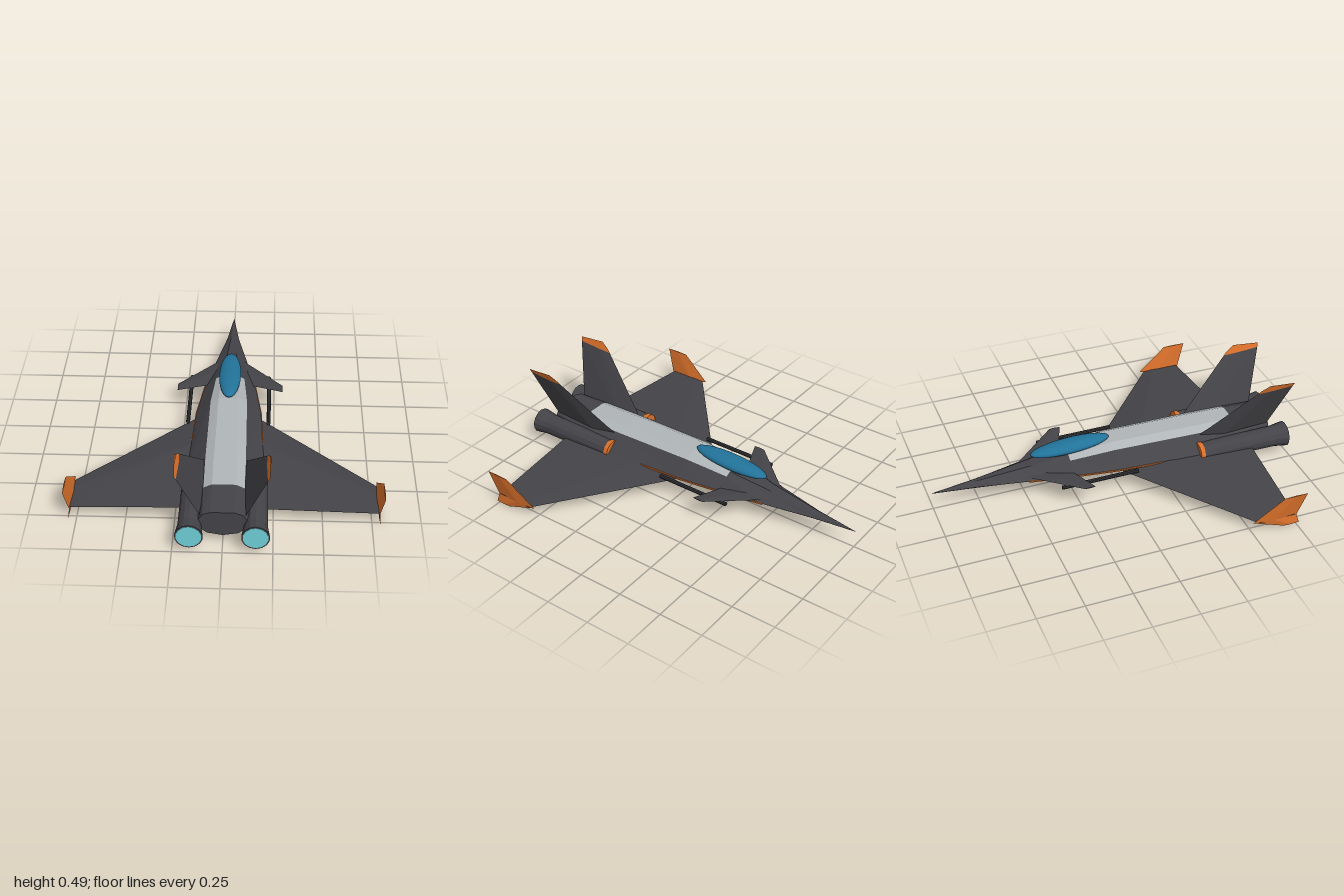
import * as THREE from 'three';

const mat = (name, color, extra = {}) => {
  const m = new THREE.MeshStandardMaterial({ color, flatShading: true, ...extra });
  m.name = name;
  return m;
};

// Skins a run of equal-length rings (counter-clockwise seen from the end they run towards).
// side = -1 mirrors in x; keep(i, j) picks panels.
function loft(rings, { side = 1, keep = () => true, caps = true } = {}) {
  const pos = [];
  const tri = (a, b, c) => {
    for (const p of side > 0 ? [a, b, c] : [a, c, b]) pos.push(p[0] * side, p[1], p[2]);
  };
  const n = rings[0].length;
  for (let i = 0; i < rings.length - 1; i++) {
    for (let j = 0; j < n; j++) {
      if (!keep(i, j)) continue;
      const k = (j + 1) % n;
      const [a, b, c, d] = [rings[i][j], rings[i][k], rings[i + 1][k], rings[i + 1][j]];
      tri(a, b, c);
      tri(a, c, d);
    }
  }
  if (caps) {
    const first = rings[0], last = rings[rings.length - 1];
    for (let j = 1; j < n - 1; j++) {
      tri(last[0], last[j], last[j + 1]);
      tri(first[0], first[j + 1], first[j]);
    }
  }
  const g = new THREE.BufferGeometry();
  g.setAttribute('position', new THREE.Float32BufferAttribute(pos, 3));
  g.computeVertexNormals();
  return g;
}

// Diamond section of a flat-lying wing at x: leading edge, crest and trailing edge in z
const wingRing = (x, y, lead, crest, trail, t) =>
  [[x, y + t, crest], [x, y, trail], [x, y - t, crest], [x, y, lead]];

// Diamond section of an upright fin: [x, y, z] at lead, crest and trail
const finRing = (lead, crest, trail, t) =>
  [trail, [crest[0] + t, crest[1], crest[2]], lead, [crest[0] - t, crest[1], crest[2]]];

export function createModel() {
  const group = new THREE.Group();
  const dark = mat('darkGrey', 0x444348);
  const darker = mat('charcoal', 0x343438);
  const pale = mat('paleGrey', 0xb0b5b8);
  const orange = mat('orange', 0xd9702b);
  const glass = mat('blueGlass', 0x22739a, { flatShading: false });
  const glow = mat('cyanGlow', 0x6fd0d8);
  const add = (name, geo, material) => {
    const m = new THREE.Mesh(geo, material);
    m.name = name;
    group.add(m);
    return m;
  };

  // Fuselage stations: z, half width, its y, shoulder x, shoulder y, deck x, deck y, belly y
  const stations = [
    [-1, 0.001, 0.1, 0.0006, 0.101, 0.0003, 0.101, 0.099],
    [-0.77, 0.035, 0.103, 0.02, 0.118, 0.01, 0.125, 0.085],
    [-0.47, 0.1, 0.11, 0.05, 0.145, 0.03, 0.16, 0.07],
    [-0.25, 0.145, 0.115, 0.08, 0.175, 0.05, 0.19, 0.06],
    [0, 0.18, 0.115, 0.1, 0.195, 0.055, 0.22, 0.052],
    [0.47, 0.2, 0.11, 0.105, 0.187, 0.06, 0.21, 0.045],
    [0.72, 0.18, 0.11, 0.105, 0.18, 0.06, 0.203, 0.045],
    [0.92, 0.14, 0.11, 0.1, 0.175, 0.06, 0.19, 0.045],
  ];
  const rings = stations.map(([z, w, m, e, te, c, t, b]) => {
    const f = w * 0.55, bf = b + (m - b) * 0.22;
    return [[w, m], [e, te], [c, t], [-c, t], [-e, te], [-w, m], [-f, bf], [0, b], [f, bf]]
      .map(([x, y]) => [x, y, z]);
  });
  const isDeck = (i, j) => i >= 3 && i < 6 && j >= 1 && j <= 3;
  add('fuselage', loft(rings, { keep: (i, j) => !isDeck(i, j) }), dark);
  add('spineDeck', loft(rings, { keep: isDeck, caps: false }), pale);

  // Canopy
  const canopy = add('canopy', new THREE.SphereGeometry(1, 24, 16), glass);
  canopy.scale.set(0.061, 0.032, 0.226);
  canopy.position.set(0, 0.217, -0.225);
  canopy.rotation.x = -0.045;

  for (const side of [1, -1]) {
    const pre = side > 0 ? 'left' : 'right';
    const part = (name, ringList, material) => add(pre + name, loft(ringList, { side }), material);
    // Tube along z at this side's x, from z0 (radius r0) to z1 (radius r1)
    const tube = (name, x, y, z0, z1, r0, r1, material, sides = 14) => {
      const g = new THREE.CylinderGeometry(r1, r0, z1 - z0, sides);
      g.rotateX(Math.PI / 2);
      g.translate(side * x, y, (z0 + z1) / 2);
      return add(pre + name, g, material);
    };

    // Main wing and canard
    part('Wing', [
      wingRing(0.1, 0.1, -0.035, 0.24, 0.778, 0.021),
      wingRing(0.2, 0.094, 0.045, 0.28, 0.775, 0.019),
      wingRing(0.79, 0.055, 0.535, 0.59, 0.745, 0.005),
    ], dark);
    part('Canard', [
      wingRing(0.07, 0.125, -0.5, -0.4, -0.27, 0.009),
      wingRing(0.295, 0.136, -0.245, -0.22, -0.183, 0.003),
    ], dark);

    // Wing tip fin
    part('WingtipFin', [
      finRing([0.793, 0, 0.68], [0.793, 0, 0.72], [0.793, 0, 0.77], 0.003),
      finRing([0.786, 0.06, 0.505], [0.786, 0.055, 0.62], [0.786, 0.05, 0.755], 0.008),
      finRing([0.805, 0.19, 0.67], [0.805, 0.19, 0.73], [0.805, 0.19, 0.8], 0.003),
    ], orange);

    // Canted tail fin with painted tip
    const tailBase = finRing([0.105, 0.165, 0.48], [0.115, 0.165, 0.65], [0.115, 0.165, 0.91], 0.016);
    const tailSplit = finRing([0.215, 0.443, 0.783], [0.217, 0.448, 0.86], [0.218, 0.453, 0.995], 0.005);
    const tailTop = finRing([0.221, 0.46, 0.8], [0.231, 0.488, 0.85], [0.228, 0.476, 1], 0.003);
    part('TailFin', [tailBase, tailSplit], dark);
    part('TailFinTip', [tailSplit, tailTop], orange);

    // Engine: intake ring, nacelle, flared nozzle and glowing exhaust
    tube('IntakeRing', 0.164, 0.1, 0.465, 0.49, 0.06, 0.06, orange);
    tube('Nacelle', 0.164, 0.1, 0.485, 0.93, 0.056, 0.06, dark);
    tube('Nozzle', 0.164, 0.1, 0.92, 0.998, 0.059, 0.071, dark);
    tube('Exhaust', 0.164, 0.1, 0.995, 1, 0.064, 0.064, glow);

    // Forward rod under the canard
    tube('Rod', 0.22, 0.118, -0.345, 0.09, 0.011, 0.011, darker, 8);

    // Thin stripe along the body's widest edge
    const stripe = [[-0.49, 0.095, 0.109], [-0.47, 0.1, 0.11], [-0.25, 0.145, 0.115],
      [0, 0.18, 0.115], [0.25, 0.1906, 0.1123]];
    part('Stripe', stripe.map(([z, x, y]) => [
      [x + 0.002, y - 0.006, z], [x + 0.002, y + 0.002, z],
      [x - 0.012, y + 0.002, z], [x - 0.012, y - 0.006, z],
    ]), orange);
  }
  return group;
}
